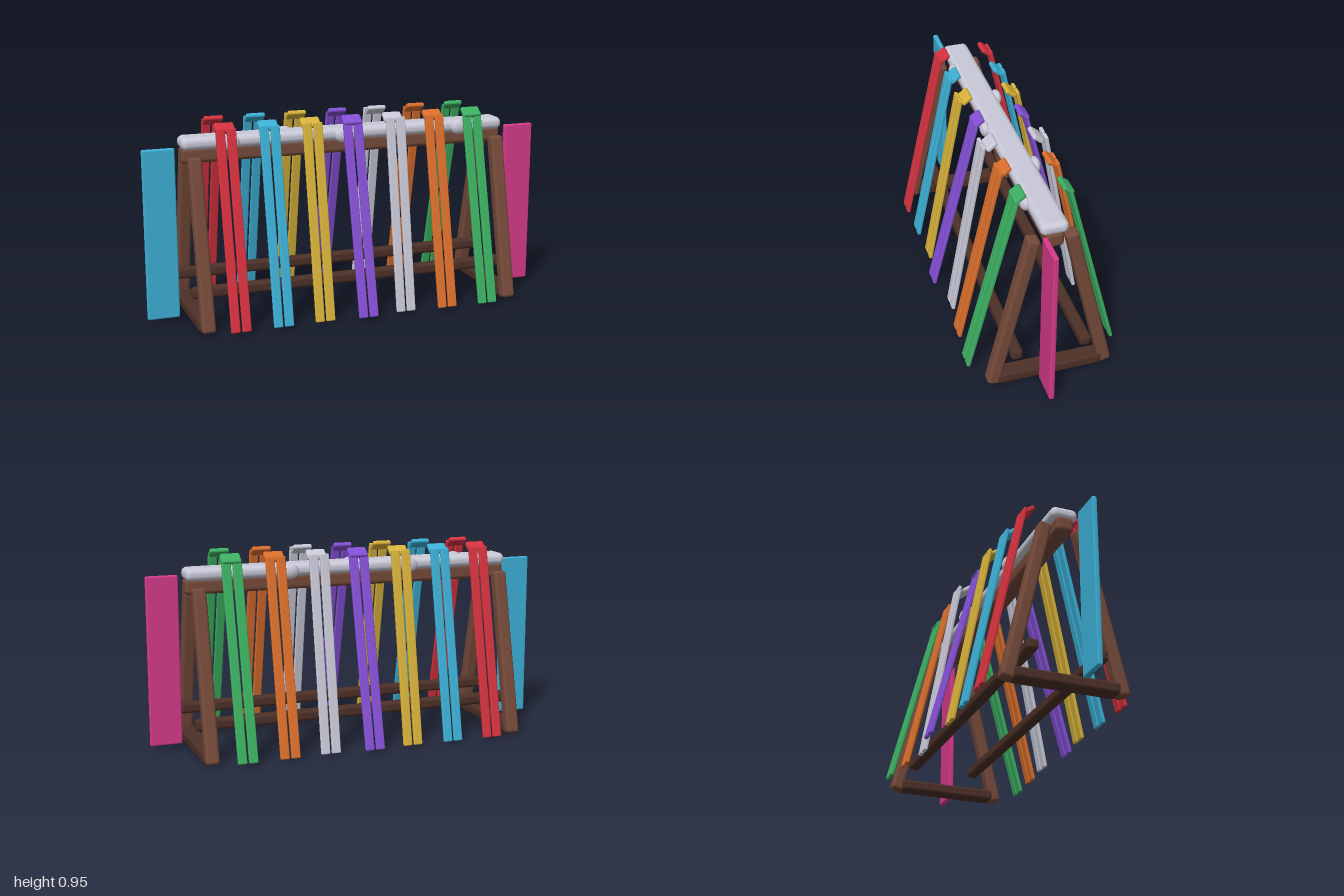
import * as THREE from 'three';
import { RoundedBoxGeometry } from 'three/addons/geometries/RoundedBoxGeometry.js';

const mat = (name, color) => {
  const m = new THREE.MeshStandardMaterial({ color });
  m.name = name;
  return m;
};

export function createModel() {
  const root = new THREE.Group();
  root.name = 'skiRack';

  const wood = mat('wood', 0x754a3a);
  const darkWood = mat('darkWood', 0x4c3027);
  const snow = mat('snow', 0xc9c9d8);
  const red = mat('red', 0xd6323f);
  const blue = mat('blue', 0x3cb0d6);
  const yellow = mat('yellow', 0xd8b23a);
  const purple = mat('purple', 0x8550d6);
  const orange = mat('orange', 0xdc6f2c);
  const green = mat('green', 0x3cb062);
  const pink = mat('pink', 0xd63a8a);

  const add = (name, geometry, material, x, y, z, rx = 0, parent = root) => {
    const m = new THREE.Mesh(geometry, material);
    m.name = name;
    m.position.set(x, y, z);
    m.rotation.x = rx;
    parent.add(m);
    return m;
  };
  const box = (w, h, d, r) => new RoundedBoxGeometry(w, h, d, 3, r);

  const cx = 0.01; // the rack sits slightly off centre between the boards

  // A-frame ends: leaning legs and a foot bar
  const leg = box(0.065, 0.815, 0.06, 0.015);
  const footBar = box(0.083, 0.055, 0.5, 0.015);
  for (const sx of [-1, 1]) {
    const x = cx + sx * 0.77;
    for (const sz of [-1, 1]) add('leg', leg, wood, x, 0.407, sz * 0.18, -sz * 0.235);
    add('footBar', footBar, darkWood, x, 0.038, 0);
  }

  // Ridge beam and lower rails
  add('ridgeBeam', box(1.64, 0.075, 0.085, 0.02), wood, cx, 0.803, 0);
  const rail = box(1.64, 0.053, 0.055, 0.016);
  for (const sz of [-1, 1]) add('lowerRail', rail, darkWood, cx, 0.176, sz * 0.165);

  // Snow on the ridge with lumps hanging over its sides
  add('snowCap', box(1.64, 0.06, 0.13, 0.027), snow, cx, 0.86, 0);
  const lump = new THREE.SphereGeometry(1, 12, 8);
  for (const [x, z] of [[-0.58, 0.066], [-0.02, 0.066], [0.59, 0.066], [-0.28, -0.07], [0.33, -0.07]]) {
    add('snowLump', lump, snow, x, 0.857, z).scale.set(0.046, 0.037, 0.024);
  }

  // Ski pairs leaning on both sides; each pair has its own lean
  const ski = box(0.044, 0.945, 0.018, 0.006);
  const tip = box(0.095, 0.024, 0.06, 0.01);
  const pairs = [
    [red, 0.222], [blue, 0.21], [yellow, 0.192], [purple, 0.252],
    [snow, 0.177], [orange, 0.222], [green, 0.252],
  ];
  pairs.forEach(([material, lean], i) => {
    const x = -0.62 + i * 0.2085;
    for (const sz of [-1, 1]) {
      const pair = new THREE.Group();
      pair.name = sz > 0 ? 'frontSkiPair' : 'backSkiPair';
      root.add(pair);
      const z = 0.232 + (lean - 0.177) * 0.08;
      for (const sx of [-1, 1]) {
        add('ski', ski, material, x + sx * 0.0265, 0.48, sz * z, -sz * lean, pair);
      }
      add('skiTip', tip, material, x, 0.937, sz * 0.111, sz * 0.66, pair);
    }
  });

  // Upright boards at either end
  const board = box(0.155, 0.82, 0.025, 0.008);
  add('rightBoard', board, blue, -0.9225, 0.44, 0.055);
  add('leftBoard', board, pink, 0.9225, 0.44, 0.055);

  return root;
}
